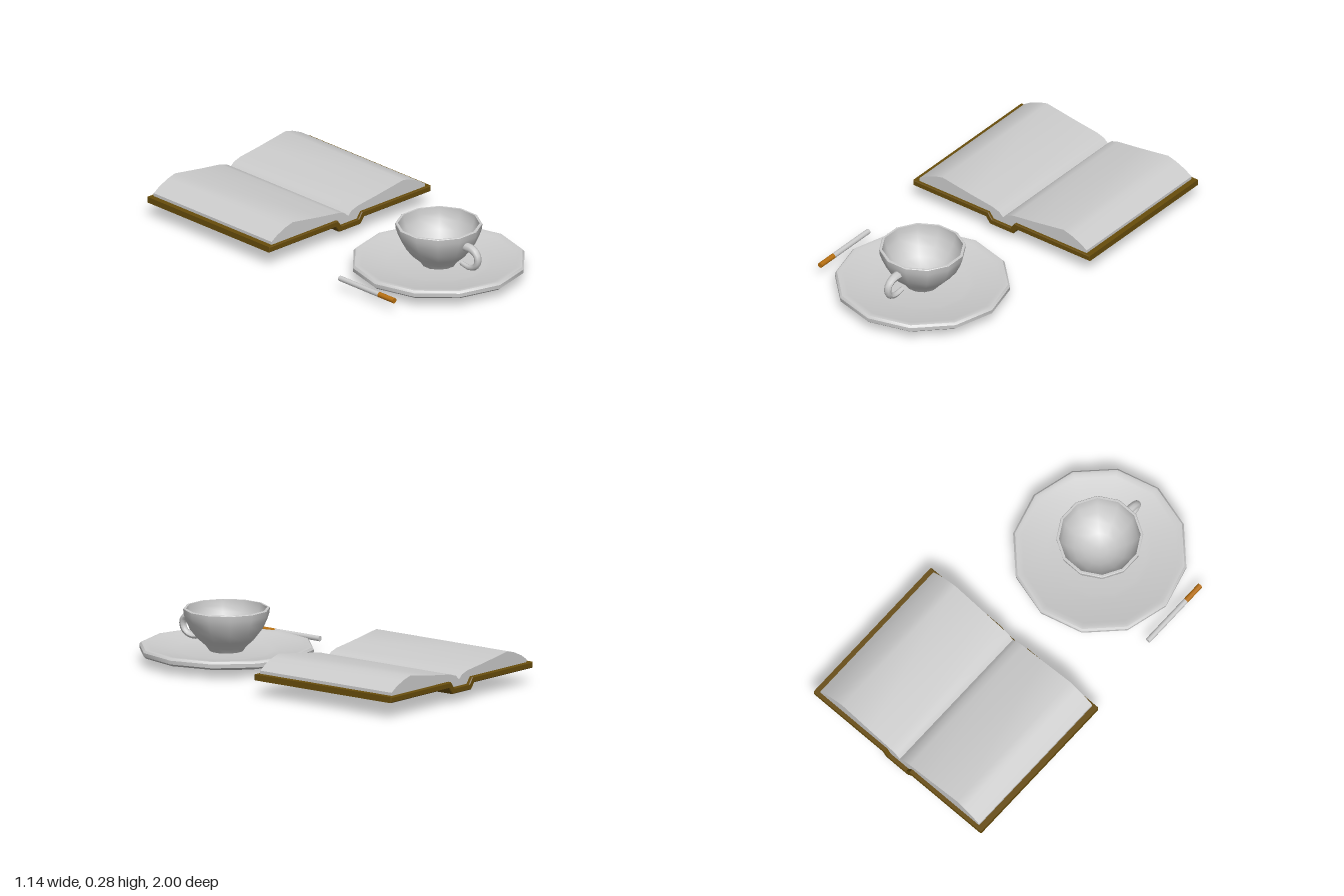
import * as THREE from 'three';
import { toCreasedNormals } from 'three/addons/utils/BufferGeometryUtils.js';

const material = (color, side = THREE.FrontSide) => new THREE.MeshStandardMaterial({ color, side });
const grey = material(0xcccccc);
const brown = material(0x674c0b);
const orange = material(0xb87010);

const points = (list) => list.map(([x, y]) => new THREE.Vector2(x, y));

function add(parent, name, geometry, mat, x = 0, y = 0, z = 0) {
  const mesh = new THREE.Mesh(geometry, mat);
  mesh.name = name;
  mesh.position.set(x, y, z);
  parent.add(mesh);
  return mesh;
}

// Twelve-sided turned form, smooth except at sharp edges
const turned = (profile) => toCreasedNormals(new THREE.LatheGeometry(points(profile), 12), 0.65);

// Extrude a front outline from z0 to z1
function slab(outline, z0, z1, bevel = 0) {
  const geometry = new THREE.ExtrudeGeometry(new THREE.Shape(points(outline)), {
    depth: z1 - z0 - 2 * bevel, bevelEnabled: bevel > 0, bevelSize: bevel,
    bevelThickness: bevel, bevelOffset: -bevel, bevelSegments: 1,
  });
  geometry.translate(0, 0, z0 + bevel);
  return toCreasedNormals(geometry, 0.5);
}

// Mirror a half outline, given from its inner end to its outer end
const mirrorX = (half) => half.slice().reverse().map(([x, y]) => [-x, y]);

function buildBook() {
  const book = new THREE.Group();
  book.name = 'openBook';

  // Cover: two boards joined by a lowered spine
  const under = [[0.075, 0.05], [0.1, 0.083], [0.57, 0.083]];
  const over = [[0.06, 0.08], [0.085, 0.114], [0.57, 0.114]];
  const cover = [...mirrorX(under), ...under, ...over.slice().reverse(), ...mirrorX(over).reverse()];
  add(book, 'cover', slab(cover, -1, -0.1, 0.004), brown);

  // Page blocks: arched leaves falling into the gutter
  const arch = [[0.025, 0.135], [0.07, 0.149], [0.2, 0.166], [0.39, 0.195],
    [0.44, 0.182], [0.5, 0.156], [0.54, 0.13], [0.54, 0.112]];
  const base = [[0.085, 0.112], [0.06, 0.08]];
  const right = [...arch, ...base];
  const pages = [[0, 0.112], ...right, ...mirrorX(right)].reverse();
  add(book, 'pages', slab(pages, -0.98, -0.115), grey);
  return book;
}

function buildHandle() {
  // Swept oval loop, narrowing towards its lower end
  const curve = new THREE.CatmullRomCurve3([
    [0.195, 0.212], [0.245, 0.211], [0.28, 0.19], [0.287, 0.155], [0.268, 0.122], [0.225, 0.105], [0.165, 0.112],
  ].map(([z, y]) => new THREE.Vector3(0, y, z)));
  const rings = 14, sides = 8;
  const geometry = new THREE.TubeGeometry(curve, rings, 0.024, sides);
  const position = geometry.attributes.position;
  const v = new THREE.Vector3();
  for (let i = 0; i <= rings; i++) {
    const centre = curve.getPointAt(i / rings);
    const scale = 1 - 0.5 * (i / rings);
    for (let j = 0; j <= sides; j++) {
      const k = i * (sides + 1) + j;
      v.fromBufferAttribute(position, k).sub(centre).multiplyScalar(scale).add(centre);
      position.setXYZ(k, v.x, v.y, v.z);
    }
  }
  geometry.computeVertexNormals();
  return geometry;
}

function buildCup() {
  const cup = new THREE.Group();
  cup.name = 'cup';
  const bowl = add(cup, 'bowl', turned([
    [0, 0.055], [0.085, 0.055], [0.105, 0.085], [0.15, 0.125], [0.186, 0.17], [0.209, 0.22], [0.219, 0.25],
    [0.222, 0.278], [0.219, 0.281], [0.208, 0.281], [0.205, 0.25], [0.195, 0.22],
    [0.171, 0.172], [0.135, 0.13], [0.085, 0.095], [0.04, 0.08], [0, 0.077],
  ]), grey);
  bowl.rotation.y = Math.PI / 12;
  add(cup, 'handle', buildHandle(), grey);
  return cup;
}

function buildCigarette() {
  const cigarette = new THREE.Group();
  cigarette.name = 'cigarette';
  const rod = (name, z0, z1, mat) => {
    const geometry = new THREE.CylinderGeometry(0.014, 0.014, z1 - z0, 10).rotateX(Math.PI / 2);
    add(cigarette, name, geometry, mat, -0.505, 0.064, (z0 + z1) / 2);
  };
  rod('paper', 0.35, 0.64, grey);
  rod('filter', 0.64, 0.75, orange);
  return cigarette;
}

export function createModel() {
  const model = new THREE.Group();
  model.name = 'readingTable';
  model.add(buildBook(), buildCigarette());

  // Cup resting on its saucer
  const service = new THREE.Group();
  service.name = 'cupAndSaucer';
  service.position.z = 0.55;
  add(service, 'saucer', turned([
    [0, 0.004], [0.2, 0.004], [0.215, 0], [0.235, 0.008], [0.34, 0.026], [0.435, 0.047], [0.449, 0.058],
    [0.45, 0.078], [0.44, 0.089], [0.425, 0.09], [0.405, 0.083], [0.27, 0.066], [0.24, 0.06], [0, 0.06],
  ]), grey);
  service.add(buildCup());
  model.add(service);
  return model;
}
